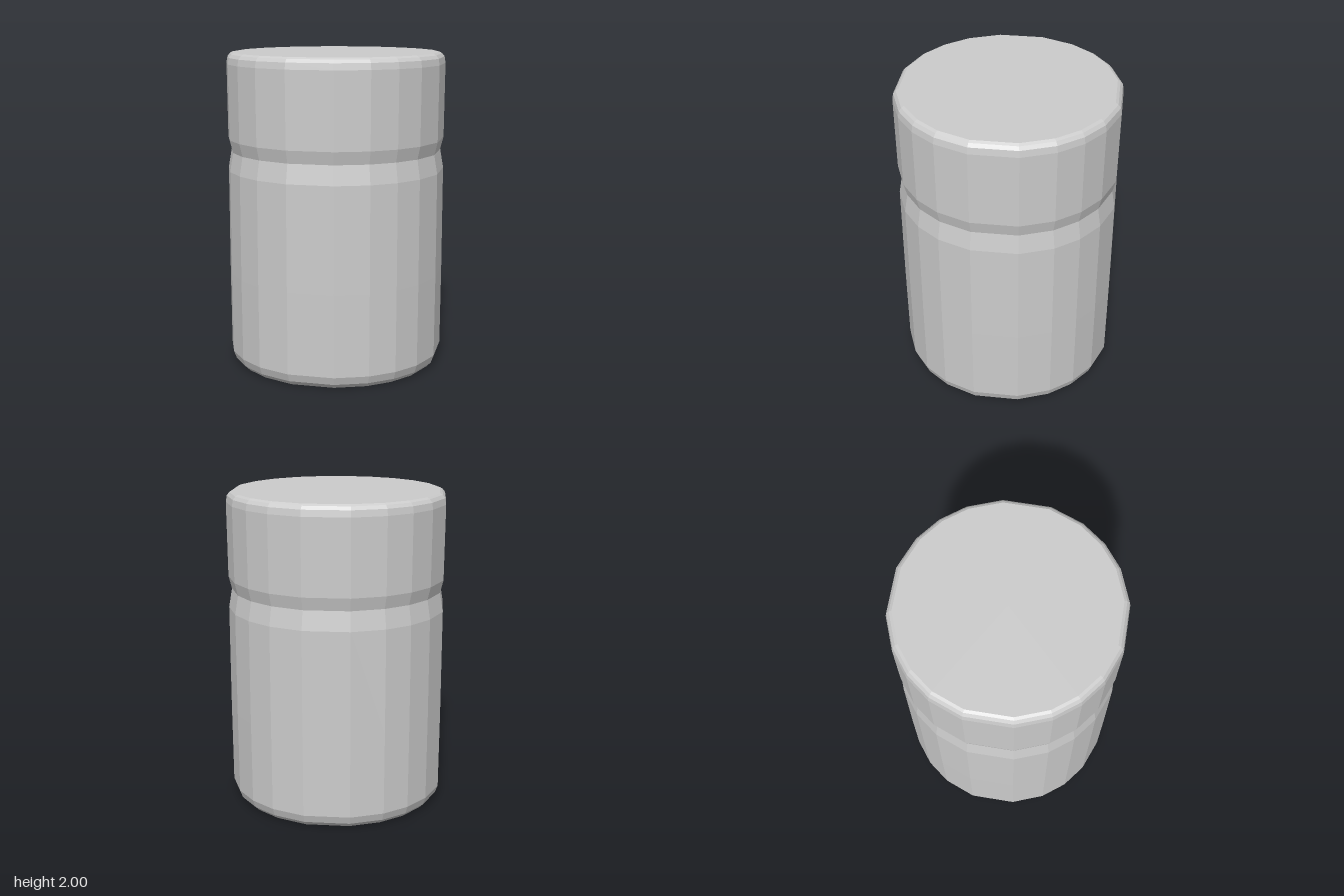
import * as THREE from 'three';

// Corner angles in one quarter turn; flats face the four axes.
const QUARTER = [12, 30, 45, 60, 78];
const SIDES = QUARTER.length * 4;

// Faceted lathe whose corners are shifted to the uneven angles above.
function facetedLathe(name, profile, material) {
  const points = profile.map(([r, y]) => new THREE.Vector2(r, y));
  const geometry = new THREE.LatheGeometry(points, SIDES);
  const pos = geometry.attributes.position;
  for (let i = 0; i < pos.count; i++) {
    const side = Math.floor(i / points.length) % SIDES;
    const r = points[i % points.length].x;
    const degrees = QUARTER[side % 5] + 90 * Math.floor(side / 5);
    const a = THREE.MathUtils.degToRad(degrees);
    pos.setX(i, r * Math.sin(a));
    pos.setZ(i, r * Math.cos(a));
  }
  geometry.computeVertexNormals();
  const mesh = new THREE.Mesh(geometry, material);
  mesh.name = name;
  return mesh;
}

export function createModel() {
  const group = new THREE.Group();
  group.name = 'canister';
  const material = new THREE.MeshStandardMaterial({ color: 0xcccccc, flatShading: true });

  // Body: bevelled foot, straight wall, tapering in to the seam
  group.add(facetedLathe('body', [
    [0, 0], [0.645, 0], [0.675, 0.03], [0.693, 0.08],
    [0.695, 0.6], [0.693, 1.26], [0.672, 1.38], [0, 1.38],
  ], material));

  // Lid: tapers out from the seam, with a rounded top rim
  group.add(facetedLathe('lid', [
    [0, 1.38], [0.672, 1.38], [0.692, 1.46], [0.695, 1.93],
    [0.688, 1.97], [0.672, 1.99], [0.655, 2], [0, 2],
  ], material));

  return group;
}
